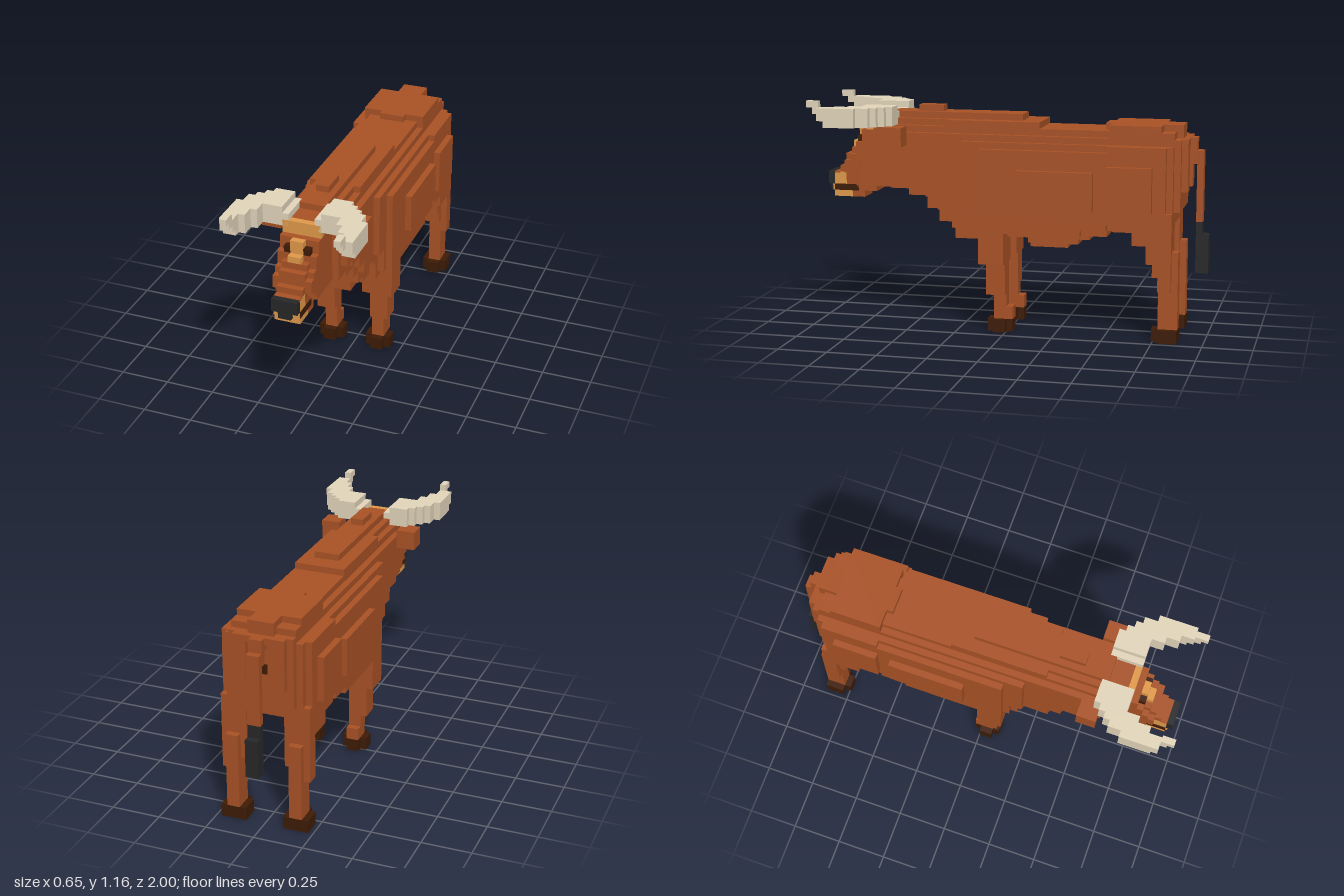
import * as THREE from 'three';

const U = 1 / 31; // one block of the grid

export function createModel() {
  const model = new THREE.Group();
  const material = (name, color) => {
    const m = new THREE.MeshStandardMaterial({ color });
    m.name = name;
    return m;
  };
  const brown = material('chestnut hide', 0xab5326);
  const hoofBrown = material('dark hoof brown', 0x3f1c06);
  const tan = material('tan face', 0xe39b4b);
  const bone = material('horn bone', 0xe5d8bd);
  const black = material('charcoal', 0x282828);

  // Block given by its limits in grid units
  function block(name, mat, x0, x1, y0, y1, z0, z1) {
    const geo = new THREE.BoxGeometry((x1 - x0) * U, (y1 - y0) * U, (z1 - z0) * U);
    const mesh = new THREE.Mesh(geo, mat);
    mesh.position.set((x0 + x1) / 2 * U, (y0 + y1) / 2 * U, (z0 + z1) / 2 * U);
    mesh.name = name;
    model.add(mesh);
  }
  // Block centred on x = 0 with half width w
  const mid = (name, mat, w, ...yz) => block(name, mat, -w, w, ...yz);
  // Mirrored left and right blocks
  function pair(name, mat, x0, x1, ...yz) {
    block(name + 'Left', mat, x0, x1, ...yz);
    block(name + 'Right', mat, -x1, -x0, ...yz);
  }

  // Barrel of the body, in stepped layers
  mid('bodyCore', brown, 5, 18, 31, -26, 7);
  mid('bodyLayer', brown, 6, 18, 30, -26, 5);
  mid('shoulderFront', brown, 6, 20, 30, 5, 7);
  mid('bodyOuterLayer', brown, 7, 18, 29, -25, 4);
  mid('haunchLayer', brown, 7, 29, 30, -25, -16);
  pair('flankPanel', brown, 7, 8, 20, 26, -14, -2);
  pair('haunchPanel', brown, 7, 8, 20, 27, -23, -16);

  // Back ridge, rump and hump
  mid('backRidge', brown, 4, 31, 32, -26, 18);
  mid('rumpPad', brown, 5, 31, 32, -26, -16);
  mid('rumpTop', brown, 5, 32, 33, -24, -16);
  mid('rumpCrest', brown, 2, 31, 33, -27, -15);
  mid('withers', brown, 4, 32, 33, -5, 10);
  mid('withersFront', brown, 3, 32, 33, 10, 18);
  mid('spine', brown, 2, 32, 34, -2, 19);
  mid('hump', brown, 1, 34, 35, 11, 15);

  // Underside steps: half width, bottom, top, back, front
  [
    [7, 17, 18, -16, 4], [6, 17, 18, -17, 5], [7, 16, 17, -12, 4], [6, 16, 17, -16, 5],
    [4, 15, 16, -13, 4], [3, 14, 15, -11, -3], [1, 13, 14, -9, -3],
  ].forEach(([w, ...yz]) => mid('bellyStep', brown, w, ...yz));

  // Shoulder, chest and throat steps
  [
    [2, 14, 17, 4, 9], [5, 15, 18, 3, 6], [4, 16, 20, 4, 9], [4, 17, 20, 7, 11],
    [5, 19, 31, 7, 11], [4, 19, 23, 11, 13], [5, 21, 31, 11, 13],
    [4, 21, 24, 13, 16], [5, 23, 31, 13, 16],
  ].forEach(([w, ...yz]) => mid('chestStep', brown, w, ...yz));

  // Neck and ears
  mid('neck', brown, 4, 22, 32, 12, 19);
  pair('cheek', brown, 3, 5, 24, 31, 16, 18);
  pair('ear', brown, 5, 8, 29, 32, 16, 19);

  // Head, sloping down to the snout
  mid('headBack', brown, 3, 22, 33, 18, 22);
  mid('headMiddle', brown, 3, 22, 31, 19, 24);
  mid('jawBack', brown, 2, 21, 22, 22, 24);
  mid('brow', brown, 3, 22, 29, 24, 25);
  mid('cheekFront', brown, 3, 23, 27, 24, 26);
  mid('cheekTip', brown, 3, 24, 26, 26, 27);
  mid('snoutBase', brown, 2, 22, 28, 24, 26);
  mid('snoutMiddle', brown, 2, 21, 27, 26, 27);
  mid('snoutFront', brown, 2, 24, 25, 27, 28);
  mid('snoutBridge', brown, 2, 23.8, 24, 28, 29);
  mid('jaw', brown, 2, 20, 22, 24, 26);
  mid('muzzle', tan, 2, 21, 24, 27, 28);
  mid('muzzleFront', tan, 2, 21, 23.8, 28, 29);
  mid('chin', tan, 2, 20, 21, 26, 29);
  mid('lowerLip', tan, 2, 21, 22, 29, 29.3);
  pair('mouthLine', hoofBrown, 2, 2.1, 21, 22, 25, 29);
  mid('nose', black, 2, 22, 24, 29, 30);
  mid('noseTip', black, 1, 21, 22, 29, 30);
  mid('forehead', tan, 3, 31, 33, 22, 23);
  mid('blaze', tan, 1, 29, 31, 24, 25);
  mid('blazeTip', tan, 1, 28, 29, 25, 26);
  pair('eye', hoofBrown, 1, 2, 29, 30, 24, 25);

  // Curved horns, one slice per step outwards: x0, x1, y0, y1, z0, z1
  [
    [2, 3, 32, 34, 18, 23], [3, 4, 32, 35, 18, 23], [4, 6, 32, 35, 18, 23],
    [6, 7, 32, 35, 19, 25], [7, 8, 32, 35, 20, 27], [8, 9, 32, 35, 21, 28],
    [9, 10, 32, 35, 23, 28], [8, 10, 33, 35, 28, 29], [8, 9, 34, 35, 29, 30],
    [8, 9, 35, 36, 29, 31],
  ].forEach((s) => pair('hornSlice', bone, ...s));

  // Front legs
  pair('frontLegTop', brown, 2, 7, 11, 17, 0, 4);
  pair('frontLegMiddle', brown, 3, 6, 6, 11, 0, 3);
  pair('frontLegLower', brown, 3, 5, 2, 6, 0, 2);
  pair('frontAnkle', brown, 3, 5, 2, 4, -1, 0);

  // Hind legs
  pair('haunch', brown, 3, 7, 17, 20, -26, -17);
  pair('thigh', brown, 3, 7, 15, 18, -26, -20);
  pair('thighLower', brown, 3, 6, 12, 15, -26, -22);
  pair('thighKnee', brown, 3, 6, 10, 12, -26, -23);
  pair('thighOuter', brown, 6, 7, 8, 16, -26, -24);
  pair('hindLegLower', brown, 4, 6, 2, 14, -27, -24);
  mid('hindQuarter', brown, 5, 20, 31, -27, -26);

  // Front hooves, notched at all corners
  pair('frontHoof', hoofBrown, 2, 6, 0, 2, 0, 2);
  pair('frontHoofToe', hoofBrown, 3, 5, 0, 2, -1, 3);

  // Hind hooves with a narrower toe
  pair('hindHoof', hoofBrown, 3, 7, 0, 2, -27, -24);
  pair('hindHoofToe', hoofBrown, 4, 6, 0, 2, -24, -23);

  // Rear end and tail
  pair('buttock', brown, 2, 4, 23, 30, -28, -27);
  mid('buttockTop', brown, 4, 30, 31, -28, -27);
  mid('rearSpot', hoofBrown, 1, 25, 26.5, -27.2, -27);
  mid('tailRoot', brown, 1, 29, 31, -29, -27);
  mid('tailBend', brown, 1, 27, 29, -29, -28);
  mid('tail', brown, 1, 18, 29, -30, -29);
  mid('tailTuft', black, 1, 10, 18, -30, -29);
  mid('tailTuftBack', black, 1, 10, 16, -31, -30);

  return model;
}
